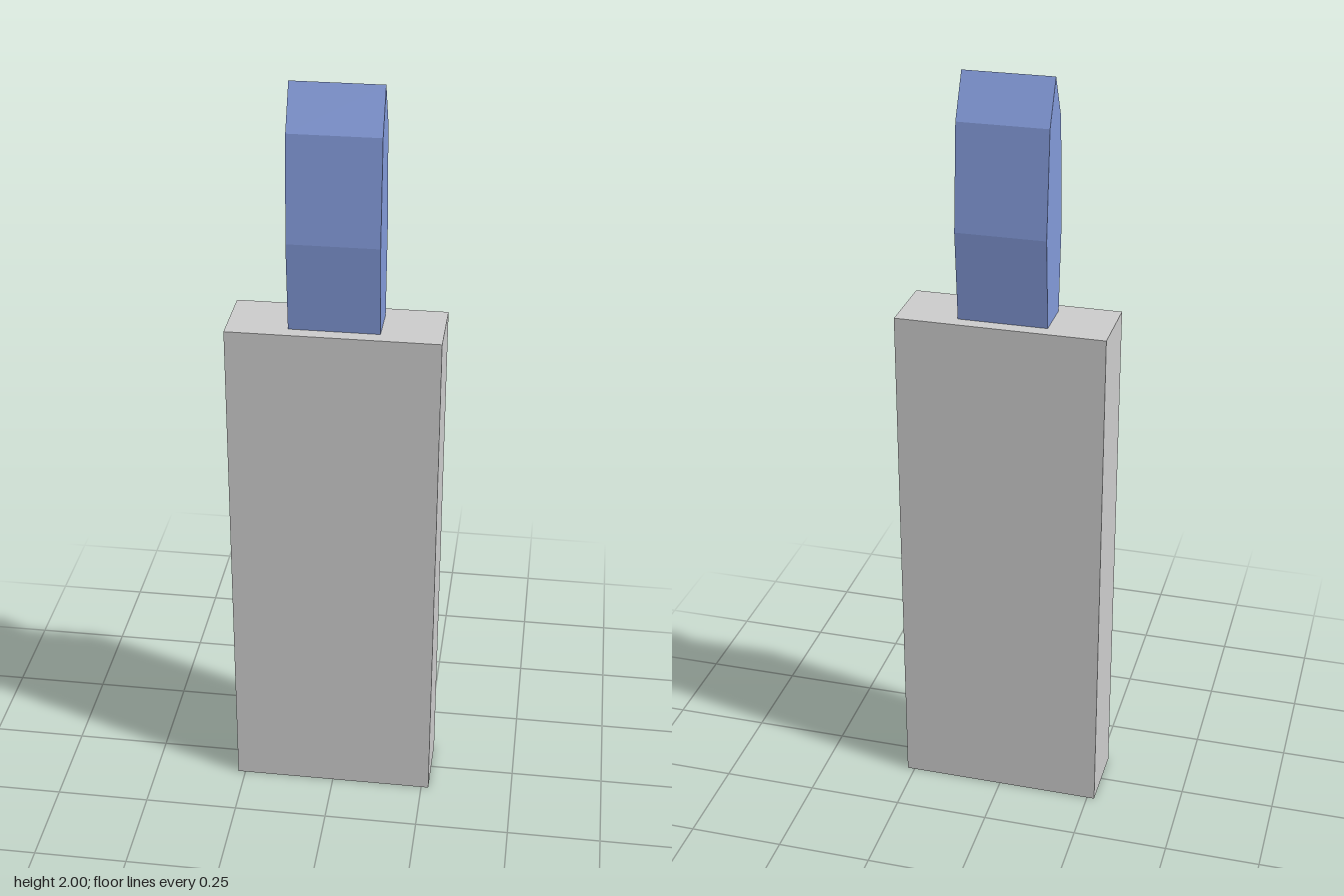
import * as THREE from 'three';

const BODY = { width: 0.54, height: 1.385, depth: 0.186 };
const TIP_WIDTH = 0.23;

// Half-profile of the tip: [half thickness, height]
const TIP_PROFILE = [[0.057, BODY.height], [0.077, 1.62], [0.055, 1.89]];

function addMesh(group, name, geometry, color) {
  const material = new THREE.MeshStandardMaterial({ color, flatShading: true });
  const mesh = new THREE.Mesh(geometry, material);
  mesh.name = name;
  group.add(mesh);
}

export function createModel() {
  const group = new THREE.Group();
  group.name = 'flatMarker';

  // Slab-shaped body standing on the ground
  const body = new THREE.BoxGeometry(BODY.width, BODY.height, BODY.depth);
  body.translate(0, BODY.height / 2, 0);
  addMesh(group, 'body', body, 0xcccccc);

  // Wedge tip: mirrored profile meeting in a ridge, extruded across x
  const right = TIP_PROFILE.map(([z, y]) => new THREE.Vector2(z, y));
  const left = TIP_PROFILE.map(([z, y]) => new THREE.Vector2(-z, y)).reverse();
  const outline = new THREE.Shape([...right, new THREE.Vector2(0, 2), ...left]);
  const tip = new THREE.ExtrudeGeometry(outline, { depth: TIP_WIDTH, bevelEnabled: false });
  tip.translate(0, 0, -TIP_WIDTH / 2).rotateY(Math.PI / 2);
  addMesh(group, 'tip', tip, 0x8299d8);

  return group;
}
